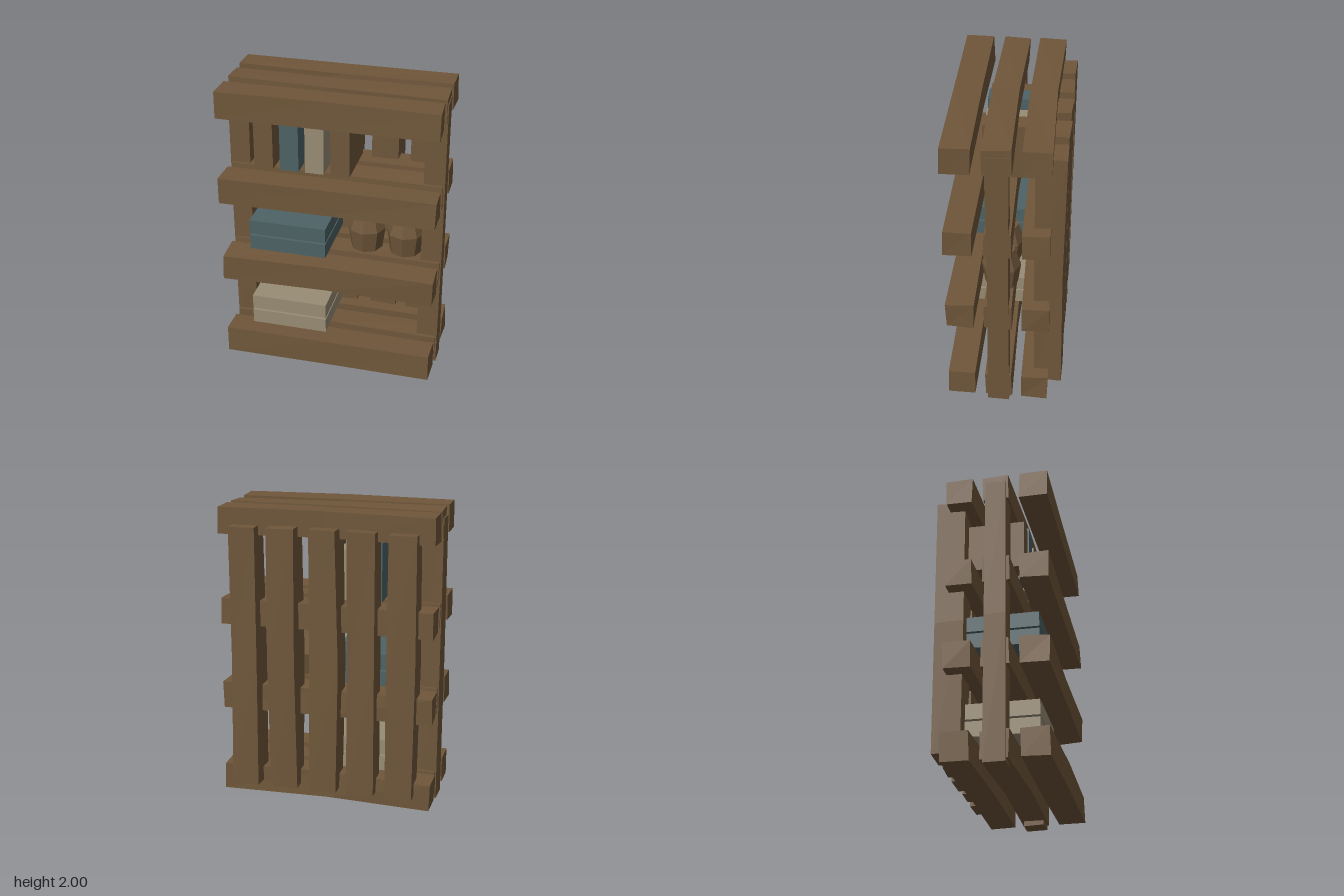
import * as THREE from 'three';

const mat = (name, color) => {
  const m = new THREE.MeshStandardMaterial({ color });
  m.name = name;
  return m;
};

// Small seeded generator for the hand-cut wobble of the timber
let seed = 7;
const wobble = (a) => {
  seed = (seed * 16807) % 2147483647;
  return (seed / 2147483647 * 2 - 1) * a;
};

// Box given by its limits; with wobble, its corners and middle section shift slightly
function box(name, material, [x0, x1], [y0, y1], [z0, z1], { sx = 1, sy = 1, amount = 0, bend = [0, 0, 0] } = {}) {
  let geo = new THREE.BoxGeometry(x1 - x0, y1 - y0, z1 - z0, sx, sy, 1);
  const p = geo.attributes.position;
  const shifts = {};
  for (let i = 0; i < p.count; i++) {
    const x = p.getX(i), y = p.getY(i), z = p.getZ(i);
    const key = [x, y, z].map((v) => Math.round(v * 1000)).join();
    const middle = (sx > 1 && Math.abs(x) < 0.001) || (sy > 1 && Math.abs(y) < 0.001);
    shifts[key] ??= [0, 1, 2].map((k) => wobble(amount) + (middle ? bend[k] : 0));
    const s = shifts[key];
    p.setXYZ(i, x + s[0], y + s[1], z + s[2]);
  }
  geo = geo.toNonIndexed();
  geo.computeVertexNormals();
  const mesh = new THREE.Mesh(geo, material);
  mesh.name = name;
  mesh.position.set((x0 + x1) / 2, (y0 + y1) / 2, (z0 + z1) / 2);
  return mesh;
}

export function createModel() {
  seed = 7;
  const wood = mat('brown wood', 0x6f563a);
  const blue = mat('slate blue', 0x4e6266);
  const beige = mat('beige', 0x988c74);
  const root = new THREE.Group();
  root.name = 'shelf';

  // Four levels, each of three planks
  [[0.04, 0.218], [0.632, 0.81], [1.212, 1.386], [1.815, 1.99]].forEach((y, level) => {
    const shelf = new THREE.Group();
    shelf.name = `shelfLevel${level + 1}`;
    const opts = (dz) => ({ sx: 2, amount: 0.006, bend: [0, 0.006, dz] });
    shelf.add(
      box('frontPlank', wood, [-0.712, 0.708], y, [0.195, 0.375], opts(0)),
      box('middlePlank', wood, [-0.708, 0.705], y, [-0.048, 0.124], opts(0.012)),
      box('backPlank', wood, [-0.712, 0.708], y, [-0.288, -0.115], opts(0.016)),
    );
    root.add(shelf);
  });

  // Side posts
  root.add(
    box('leftPost', wood, [0.575, 0.716], [0.006, 1.94], [-0.03, 0.108], { sy: 2, amount: 0.005 }),
    box('rightPost', wood, [-0.716, -0.582], [0.016, 1.94], [-0.03, 0.108], { sy: 2, amount: 0.006 }),
  );

  // Upright back boards
  [-0.52, -0.262, -0.005, 0.265, 0.525].forEach((x, i) => {
    root.add(box(`backBoard${i + 1}`, wood, [x - 0.092, x + 0.092], [0.125, 1.885], [-0.37, -0.185],
      { sy: 2, amount: 0.008, bend: [i === 2 ? -0.015 : 0, 0, 0] }));
  });

  // Standing books
  [[-0.527, -0.4, 1.737, wood], [-0.353, -0.228, 1.79, blue], [-0.185, -0.06, 1.738, beige], [-0.015, 0.11, 1.79, wood]]
    .forEach(([x0, x1, top, m], i) => root.add(box(`book${i + 1}`, m, [x0, x1], [1.407, top], [-0.18, 0.19])));

  // Folded stacks of two
  [[0.84, blue], [0.245, beige]].forEach(([y, m], i) => {
    for (let k = 0; k < 2; k++) {
      const b = y + k * 0.114;
      root.add(box(`stack${i + 1}Layer${k + 1}`, m, [-0.545, -0.027], [b, b + 0.101], [-0.18, 0.287]));
    }
  });

  // Faceted jars
  const profile = [[0, 0], [0.107, 0], [0.127, 0.145], [0.088, 0.262], [0, 0.262]].map(([r, y]) => new THREE.Vector2(r, y));
  const jarGeo = new THREE.LatheGeometry(profile, 8).toNonIndexed();
  jarGeo.computeVertexNormals();
  [0.196, 0.462].forEach((x, i) => {
    const jar = new THREE.Mesh(jarGeo, wood);
    jar.name = `jar${i + 1}`;
    jar.position.set(x, 0.838, 0.038);
    root.add(jar);
  });

  return root;
}
